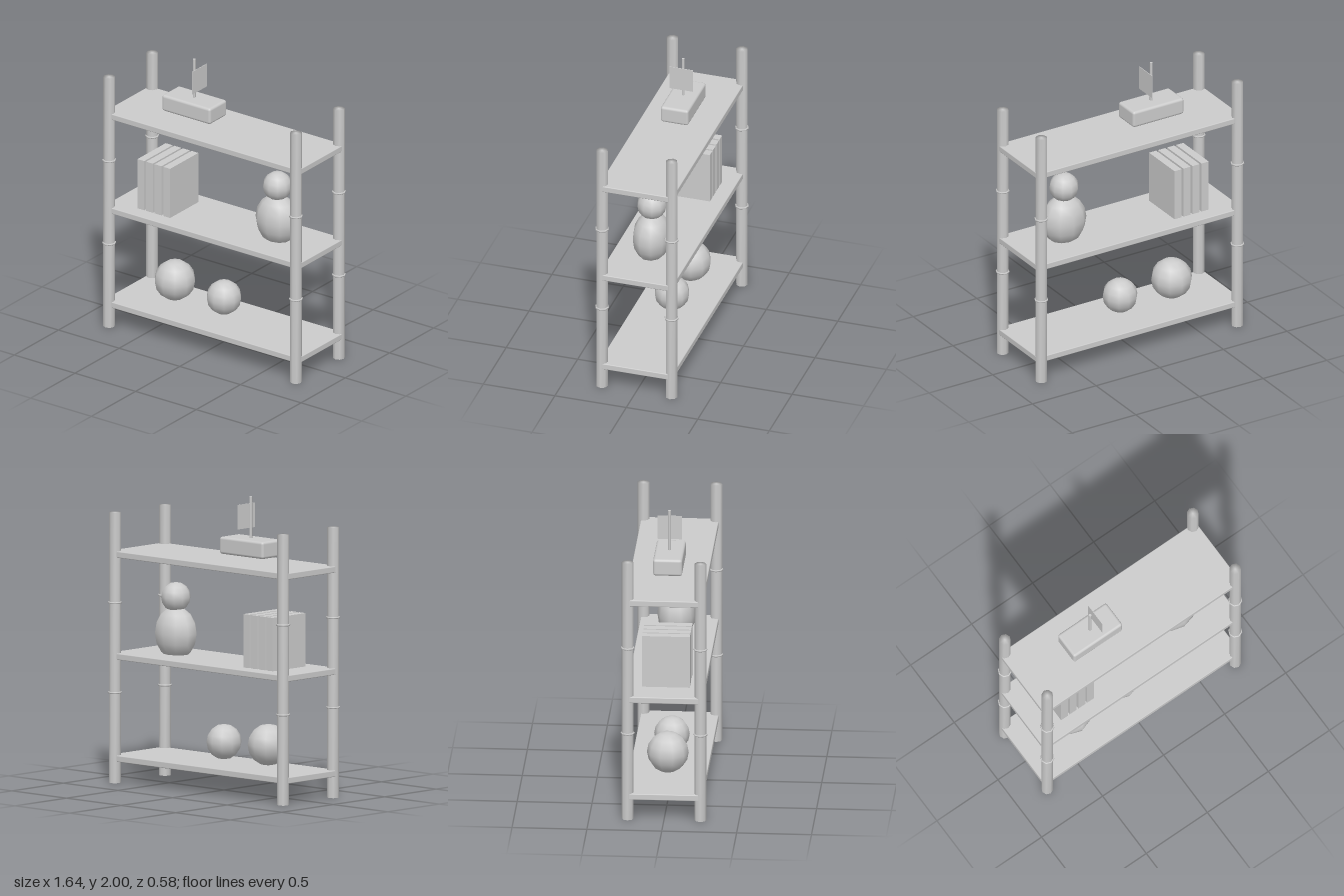
import * as THREE from 'three';
import { mergeVertices } from 'three/addons/utils/BufferGeometryUtils.js';
import { RoundedBoxGeometry } from 'three/addons/geometries/RoundedBoxGeometry.js';

const grey = new THREE.MeshStandardMaterial({ color: 0xcccccc });
grey.name = 'pale grey';

function add(parent, name, geometry, x, y, z) {
  const mesh = new THREE.Mesh(geometry, grey);
  mesh.name = name;
  mesh.position.set(x, y, z);
  parent.add(mesh);
  return mesh;
}

// Weld seams and caps so the shading runs smoothly over the whole surface
function weld(geometry) {
  geometry.deleteAttribute('uv');
  geometry.deleteAttribute('normal');
  const welded = mergeVertices(geometry, 1e-4);
  welded.computeVertexNormals();
  return welded;
}

// Low-poly ball with a corner towards the front
const ball = (r) => new THREE.SphereGeometry(r, 10, 8).rotateY(Math.PI / 2);

export function createModel() {
  const model = new THREE.Group();
  model.name = 'shelfUnit';

  // Four bamboo posts with two joint rings each
  const postGeometry = weld(new THREE.CylinderGeometry(0.04, 0.04, 1.82, 8));
  const ringGeometry = new THREE.TorusGeometry(0.041, 0.007, 6, 8).rotateX(Math.PI / 2);
  for (const x of [-0.77, 0.77]) {
    for (const z of [-0.243, 0.243]) {
      const post = new THREE.Group();
      post.name = 'post';
      post.position.set(x, 0, z);
      add(post, 'postShaft', postGeometry, 0, 0.91, 0);
      for (const y of [0.608, 1.213]) add(post, 'postJoint', ringGeometry, 0, y, 0);
      model.add(post);
    }
  }

  // Three shelf boards
  const shelfGeometry = new RoundedBoxGeometry(1.61, 0.043, 0.52, 1, 0.006);
  for (const y of [0.165, 0.852, 1.539]) add(model, 'shelf', shelfGeometry, 0, y, 0);

  // Balls on the bottom shelf
  add(model, 'largeBall', ball(0.14), -0.405, 0.345, 0);
  add(model, 'smallBall', ball(0.119), 0, 0.326, 0);

  // Row of books on the middle shelf
  const bookGeometry = new THREE.BoxGeometry(0.056, 0.36, 0.32);
  for (let i = 0; i < 4; i++) add(model, 'book', bookGeometry, -0.569 + i * 0.071, 1.053, 0);

  // Stuffed toy made of a body and a head
  const toy = new THREE.Group();
  toy.name = 'toy';
  toy.position.x = 0.441;
  add(toy, 'toyBody', ball(0.16).scale(1, 1.11, 0.8), 0, 1.015, 0);
  add(toy, 'toyHead', ball(0.1), 0, 1.257, 0);
  model.add(toy);

  // Toy boat on the top shelf
  const boat = new THREE.Group();
  boat.name = 'toyBoat';
  boat.position.x = -0.245;
  add(boat, 'hull', new RoundedBoxGeometry(0.4, 0.116, 0.195, 2, 0.018), 0, 1.662, 0);
  add(boat, 'mast', new THREE.CylinderGeometry(0.01, 0.01, 0.3, 8), 0, 1.85, 0);
  add(boat, 'sail', new THREE.BoxGeometry(0.004, 0.165, 0.164), 0.042, 1.864, 0);
  model.add(boat);

  return model;
}
